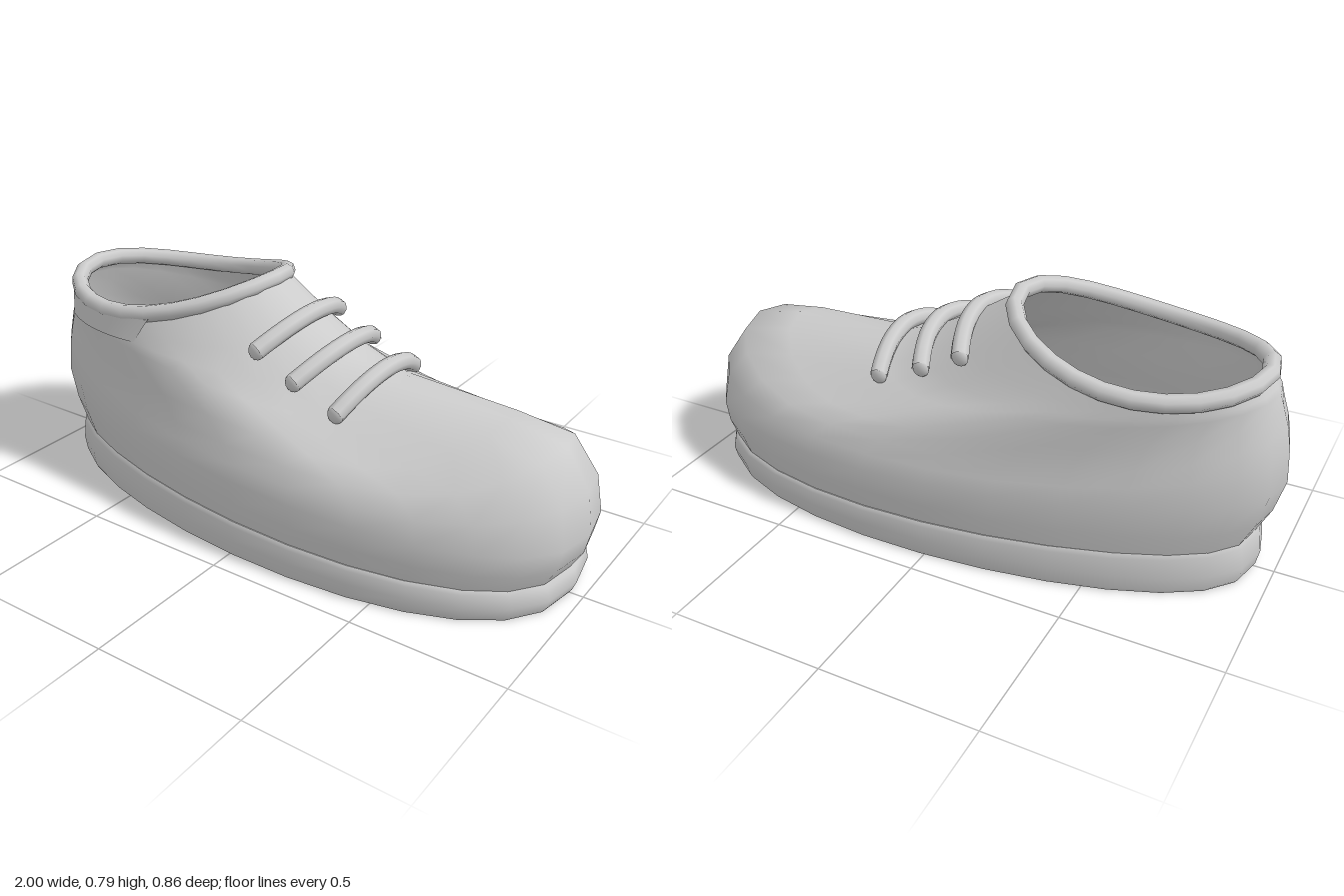
import * as THREE from 'three';

const SEG = 28;
const mat = new THREE.MeshStandardMaterial({ color: 0xcccccc, side: THREE.DoubleSide });

// Ring: [xBack, xFront, halfWidth, yBack, yMiddle, yFront,
//        forward skew and fullness of the outline, dip of the front quarters]
function ringPoint([xb, xf, w, yb, ym, yf, skew = 0, dip = 0], a) {
  const u = Math.cos(a), s = Math.sin(a);
  const sag = u > 0 ? 4 * dip * u * u * (1 - u * u) : 0;
  return new THREE.Vector3(
    (xb + xf) / 2 + ((xf - xb) / 2) * u,
    ym + ((yf - yb) / 2) * u + ((yf + yb) / 2 - ym) * u * u - sag,
    w * Math.sign(s) * Math.abs(s) ** (1 - 1.5 * skew) * (1 + skew * u)
  );
}

// Skin over a stack of rings, listed from the bottom up
function loft(rings) {
  const pos = [], idx = [];
  rings.forEach((ring, k) => {
    for (let i = 0; i < SEG; i++) {
      pos.push(...ringPoint(ring, (i / SEG) * Math.PI * 2).toArray());
      if (k === rings.length - 1) continue;
      const j = (i + 1) % SEG, a = k * SEG + i, b = k * SEG + j;
      idx.push(a, a + SEG, b, b, a + SEG, b + SEG);
    }
  });
  const geo = new THREE.BufferGeometry();
  geo.setAttribute('position', new THREE.Float32BufferAttribute(pos, 3));
  geo.setIndex(idx);
  geo.computeVertexNormals();
  return geo;
}

export function createModel() {
  const model = new THREE.Group();
  const add = (name, geo, parent = model) => {
    const mesh = new THREE.Mesh(geo, mat);
    mesh.name = name;
    parent.add(mesh);
    return mesh;
  };

  // Sole: rounded slab, thicker at the heel; repeated rings keep the rims crisp
  const soleBottom = [-0.93, 0.955, 0.42, 0, 0, 0, 0.12];
  const soleTop = [-0.92, 0.945, 0.415, 0.145, 0.118, 0.095, 0.12];
  add('sole', loft([
    [0, 0, 0, 0, 0, 0], soleBottom, soleBottom,
    [-0.94, 0.963, 0.424, 0.012, 0.012, 0.012, 0.12],
    [-0.95, 0.975, 0.427, 0.06, 0.055, 0.045, 0.12],
    [-0.94, 0.965, 0.424, 0.13, 0.105, 0.085, 0.12],
    soleTop, soleTop, [0, 0, 0, 0.118, 0.118, 0.118],
  ]));

  // Upper: rings tilt back from the toe cap to the ankle opening
  const collarRing = [-0.91, -0.125, 0.285, 0.67, 0.65, 0.765];
  add('upper', loft([
    [-0.92, 0.945, 0.41, 0.12, 0.1, 0.08, 0.12],
    [-0.97, 0.985, 0.417, 0.22, 0.18, 0.15, 0.12],
    [-1.0, 1.0, 0.416, 0.33, 0.26, 0.22, 0.12],
    [-0.993, 0.98, 0.402, 0.44, 0.31, 0.35, 0.11, 0.015],
    [-0.98, 0.9, 0.385, 0.51, 0.36, 0.475, 0.09, 0.05],
    [-0.96, 0.72, 0.365, 0.57, 0.43, 0.51, 0.06, 0.075],
    [-0.945, 0.35, 0.335, 0.615, 0.53, 0.52, 0.03, 0.05],
    [-0.935, 0.19, 0.32, 0.63, 0.565, 0.575, 0.02, 0.03],
    [-0.925, 0.05, 0.305, 0.645, 0.6, 0.65, 0.01, 0.015],
    collarRing,
  ]));

  // Padded collar around the opening
  const collarPoints = Array.from({ length: 24 }, (_, i) => ringPoint(collarRing, (i / 24) * Math.PI * 2));
  add('collar', new THREE.TubeGeometry(new THREE.CatmullRomCurve3(collarPoints, true), 24, 0.028, 8, true));

  // Thin curved side tab just under the collar
  const tab = new THREE.PlaneGeometry(1, 1, 8, 1);
  const p = tab.attributes.position;
  for (let i = 0; i < p.count; i++) {
    const low = p.getY(i) < 0;
    const a = Math.PI * (0.59 - p.getX(i) * (low ? 0.27 : 0.37));
    const q = ringPoint(collarRing, a);
    const out = low ? 0.034 : 0.022;
    p.setXYZ(i, q.x + Math.cos(a) * out, low ? 0.572 : q.y, q.z + Math.sin(a) * out);
  }
  tab.computeVertexNormals();
  add('sideTab', tab);

  // Laces: [middle x, middle y, end x, end y]
  const laces = new THREE.Group();
  laces.name = 'laces';
  model.add(laces);
  for (const [mx, my, ex, ey] of [[0.022, 0.682, -0.03, 0.615], [0.16, 0.615, 0.108, 0.545], [0.297, 0.56, 0.263, 0.483]]) {
    const points = [-1, -0.8, -0.45, 0, 0.45, 0.8, 1].map((t) => new THREE.Vector3(
      mx + (ex - mx) * t * t, my + (ey - my) * t * t, 0.226 * t));
    add('lace', new THREE.TubeGeometry(new THREE.CatmullRomCurve3(points), 16, 0.029, 8), laces);
    for (const end of [points[0], points[6]]) {
      const cap = add('laceEnd', new THREE.SphereGeometry(0.029, 10, 8), laces);
      cap.position.copy(end);
      cap.scale.z = 0.5;
    }
  }
  return model;
}
